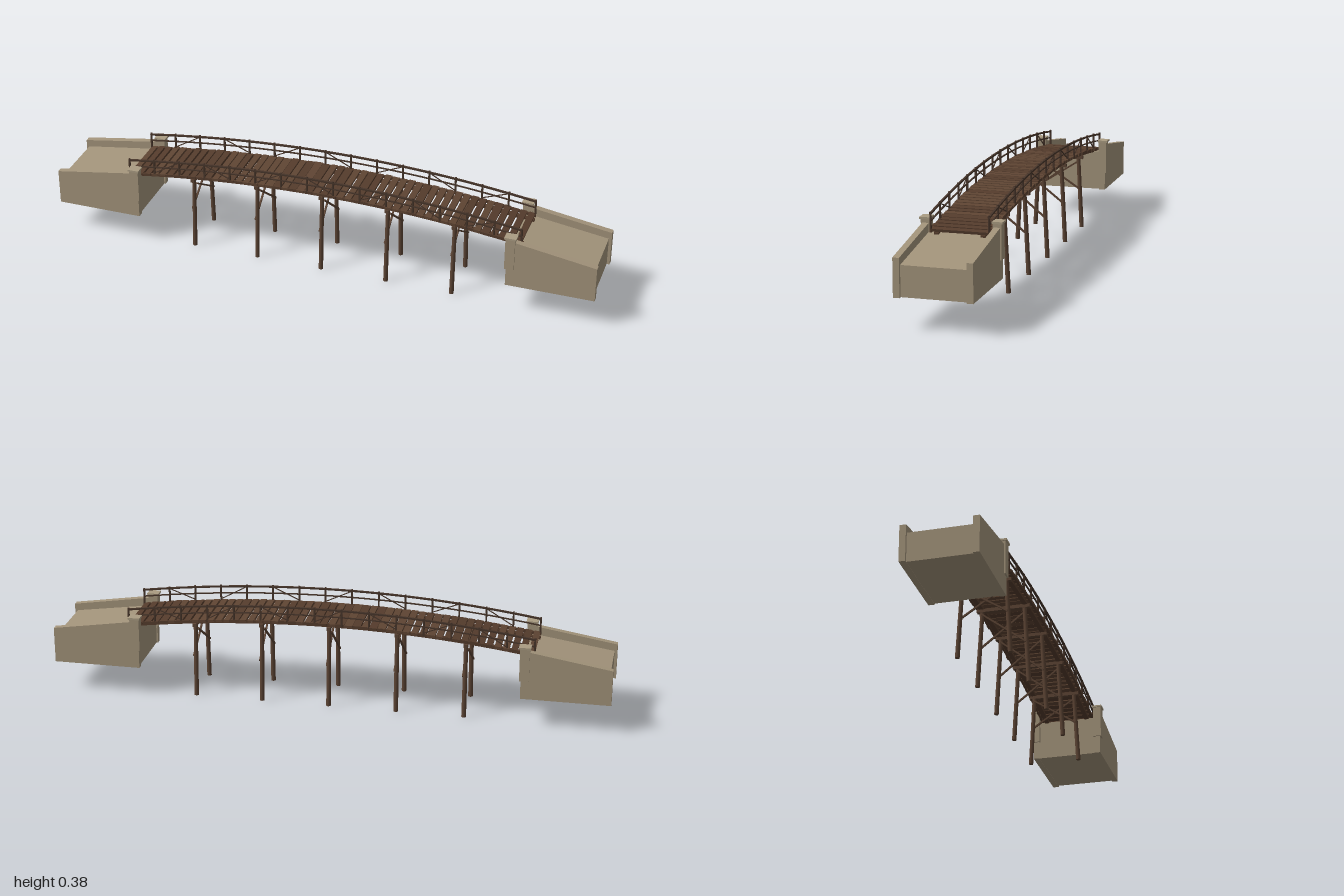
import * as THREE from 'three';

const mat = (name, color) => {
  const m = new THREE.MeshStandardMaterial({ color });
  m.name = name;
  return m;
};

// Height of the deck surface along the span
const HALF = 0.73;
const deckY = x => 0.319 - 0.055 * (x / HALF) ** 2;

export function createModel() {
  const stone = mat('stone', 0xa3947b);
  const capStone = mat('capStone', 0xaa9c82);
  const plankWood = mat('plankWood', 0x5f4533);
  const plankDark = mat('plankWoodDark', 0x553c2c);
  const pileWood = mat('pileWood', 0x5c4434);
  const railWood = mat('railWood', 0x47352a);

  const root = new THREE.Group();
  root.name = 'footbridge';
  const group = name => {
    const g = new THREE.Group();
    g.name = name;
    root.add(g);
    return g;
  };
  const add = (parent, name, geo, material, x = 0, y = 0, z = 0) => {
    const m = new THREE.Mesh(geo, material);
    m.name = name;
    m.position.set(x, y, z);
    parent.add(m);
    return m;
  };
  const box = (parent, name, material, size, pos) =>
    add(parent, name, new THREE.BoxGeometry(...size), material, ...pos);

  // Side profile pushed out between two z values
  const slab = (parent, name, material, points, z0, z1) => {
    const shape = new THREE.Shape(points.map(p => new THREE.Vector2(...p)));
    const geo = new THREE.ExtrudeGeometry(shape, { depth: z1 - z0, bevelEnabled: false });
    return add(parent, name, geo, material, 0, 0, z0);
  };

  // Square or round bar between two points
  const UP = new THREE.Vector3(0, 1, 0);
  const bar = (parent, name, material, a, b, w, round = false, rTop = w) => {
    const p = new THREE.Vector3(...a), q = new THREE.Vector3(...b);
    const d = q.clone().sub(p), len = d.length();
    const geo = round ? new THREE.CylinderGeometry(rTop, w, len, 8) : new THREE.BoxGeometry(w, len, w);
    const m = add(parent, name, geo, material);
    m.position.copy(p).add(q).multiplyScalar(0.5);
    m.quaternion.setFromUnitVectors(UP, d.normalize());
    return m;
  };

  // Beam that follows the arch of the deck
  const archBeam = (parent, name, material, low, high, z, width, half = HALF) => {
    const top = [], bottom = [], n = 30;
    for (let i = 0; i <= n; i++) {
      const x = -half + (2 * half * i) / n;
      top.push([x, deckY(x) + high]);
      bottom.push([x, deckY(x) + low]);
    }
    slab(parent, name, material, [...bottom, ...top.reverse()], z - width / 2, z + width / 2);
  };

  let seed = 17;
  const rand = () => (seed = (seed * 16807) % 2147483647) / 2147483647;

  // Stone abutments with parapets and end pillars
  for (const s of [-1, 1]) {
    const g = group(s > 0 ? 'leftAbutment' : 'rightAbutment');
    slab(g, 'rampFill', stone,
      [[s * 0.69, 0.106], [s * 0.99, 0.106], [s * 0.99, 0.21], [s * 0.69, 0.254]], -0.11, 0.11);
    for (const t of [-1, 1]) {
      const z = t * 0.121;
      slab(g, 'parapet', stone,
        [[s * 0.685, 0.105], [s, 0.105], [s, 0.235], [s * 0.685, 0.285]], z - 0.011, z + 0.011);
      box(g, 'pillar', stone, [0.034, 0.12, 0.03], [s * 0.697, 0.233, t * 0.122]);
      box(g, 'pillarCap', capStone, [0.042, 0.007, 0.036], [s * 0.697, 0.2965, t * 0.123]);
    }
  }

  // Planks of slightly uneven width and length
  const deck = group('deck');
  const count = 50, pitch = (2 * HALF) / count;
  for (let i = 0; i < count; i++) {
    const x = -HALF + (i + 0.5) * pitch;
    const w = pitch - (rand() < 0.6 ? 0.007 : 0.001);
    const m = box(deck, 'plank', rand() < 0.6 ? plankWood : plankDark,
      [w, 0.009, 0.202 + rand() * 0.008], [x, deckY(x) - 0.0045, (rand() - 0.5) * 0.003]);
    m.rotation.z = Math.atan((-0.11 * x) / HALF ** 2);
  }
  for (const t of [-1, 1]) {
    archBeam(deck, 'stringer', plankDark, -0.019, -0.009, t * 0.079, 0.016);
    archBeam(deck, 'edgeBeam', plankDark, -0.011, -0.001, t * 0.098, 0.007);
  }

  // Railings: posts, two arched rails and alternating braces
  const bays = 15;
  for (const t of [-1, 1]) {
    const g = group(t > 0 ? 'frontRailing' : 'backRailing');
    const z = t * 0.099;
    archBeam(g, 'topRail', railWood, 0.048, 0.054, z, 0.007);
    archBeam(g, 'middleRail', railWood, 0.024, 0.028, z, 0.005);
    for (let i = 0; i <= bays; i++) {
      const x = -HALF + 0.003 + ((2 * HALF - 0.006) * i) / bays;
      box(g, 'railPost', railWood, [0.006, 0.066, 0.006], [x, deckY(x) + 0.024, z]);
      if (i < bays && i % 2 === 1) {
        const x2 = x + (2 * HALF) / bays;
        const rise = i % 4 === 1;
        bar(g, 'railBrace', railWood,
          [x, deckY(x) + (rise ? 0.003 : 0.05), z], [x2, deckY(x2) + (rise ? 0.05 : 0.003), z], 0.003);
      }
    }
  }

  // Trestles: splayed piles, cap beam and crossed braces
  for (let i = -2; i <= 2; i++) {
    const x = i * 0.243, top = deckY(x) - 0.015;
    const g = group('trestle');
    const zAt = y => 0.0915 - 0.053 * y;
    for (const t of [-1, 1]) {
      bar(g, 'pile', pileWood, [x, 0, t * zAt(0)], [x, top, t * zAt(top)], 0.0085, true, 0.0075);
      const bx = x + t * 0.008;
      bar(g, 'crossBrace', pileWood,
        [bx, 0.15, -t * zAt(0.15)], [bx, top - 0.025, t * zAt(top)], 0.006);
    }
    box(g, 'capBeam', pileWood, [0.014, 0.012, 0.19], [x, top - 0.009, 0]);
  }

  return root;
}
